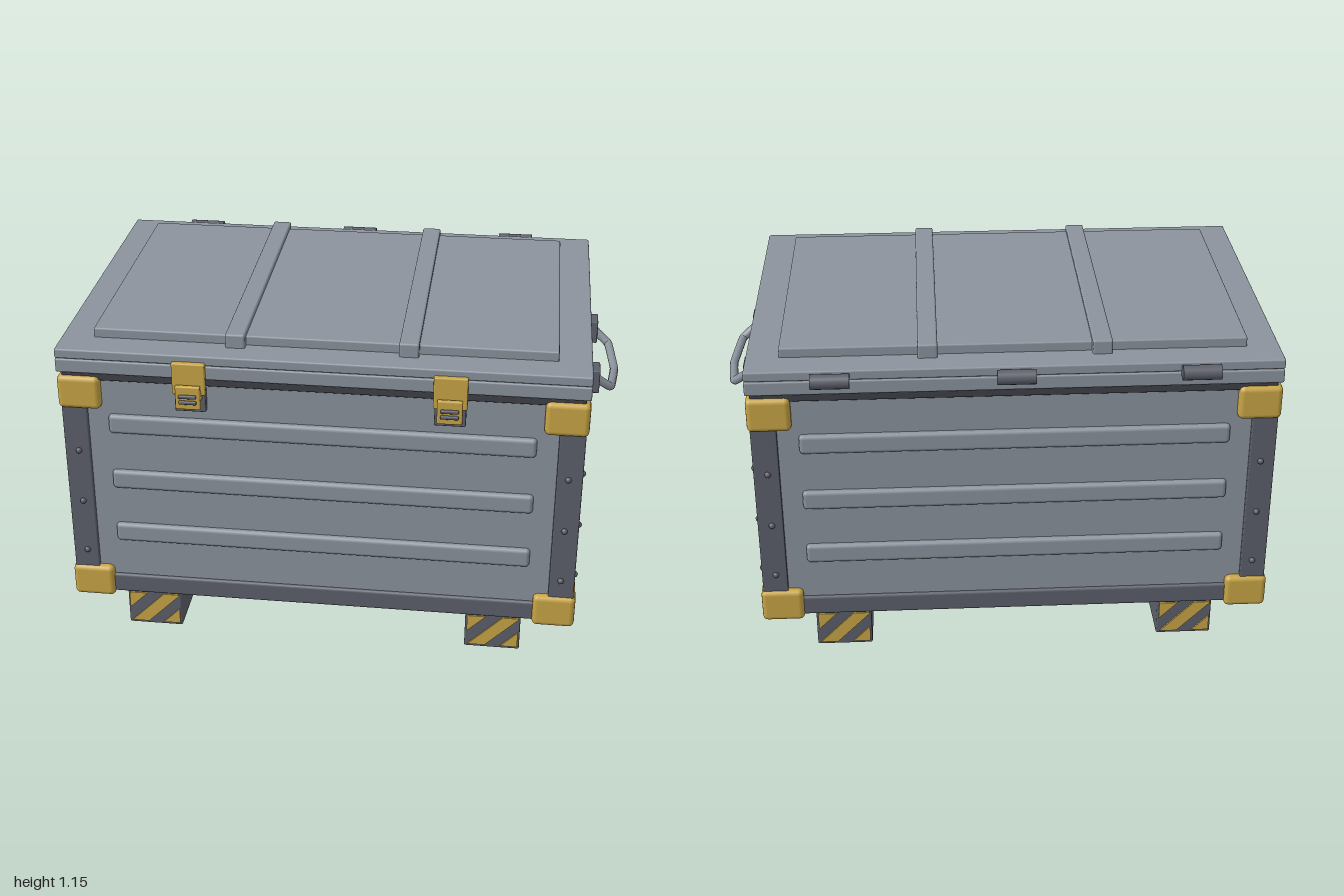
import * as THREE from 'three';
import { RoundedBoxGeometry } from 'three/addons/geometries/RoundedBoxGeometry.js';

const paint = (name, color) => {
  const m = new THREE.MeshStandardMaterial({ color });
  m.name = name;
  return m;
};

export function createModel() {
  const steel = paint('steel grey', 0x8b939d);
  const frame = paint('dark frame', 0x5d606b);
  const brass = paint('brass yellow', 0xc8a545);
  const rubber = paint('black seal', 0x3f4148);

  const crate = new THREE.Group();
  crate.name = 'crate';

  const add = (name, geometry, material, x = 0, y = 0, z = 0, parent = crate) => {
    const mesh = new THREE.Mesh(geometry, material);
    mesh.name = name;
    mesh.position.set(x, y, z);
    parent.add(mesh);
    return mesh;
  };
  // Rounded box given by its lower and upper limits on each axis
  const block = (name, material, [x0, x1], [y0, y1], [z0, z1], radius = 0.005, parent = crate) =>
    add(name, new RoundedBoxGeometry(x1 - x0, y1 - y0, z1 - z0, 2, radius), material,
      (x0 + x1) / 2, (y0 + y1) / 2, (z0 + z1) / 2, parent);
  const span = (centre, size) => [centre - size / 2, centre + size / 2];

  // Body, base frame and seal under the lid
  block('body', steel, [-0.86, 0.86], [0.16, 1.0], [-0.575, 0.575]);
  block('baseFrame', frame, [-0.87, 0.87], [0.147, 0.22], [-0.585, 0.585], 0.01);
  block('lidSeal', rubber, [-0.87, 0.87], [0.99, 1.025], [-0.585, 0.585]);

  // Lid: two layers, raised panel and two straps
  block('lidRim', steel, [-0.885, 0.885], [1.02, 1.069], [-0.598, 0.598], 0.006);
  block('lidTop', steel, [-0.885, 0.885], [1.071, 1.105], [-0.598, 0.598], 0.006);
  block('lidCore', steel, [-0.878, 0.878], [1.05, 1.09], [-0.59, 0.59]);
  block('lidPanel', steel, [-0.775, 0.775], [1.09, 1.138], [-0.49, 0.49], 0.006);
  for (const x of [-0.29, 0.287])
    block('lidStrap', steel, span(x, 0.066), [1.09, 1.153], [-0.52, 0.52], 0.007);

  // Pressed ribs on all four walls
  for (const y of [0.4, 0.613, 0.828]) {
    for (const s of [-1, 1]) {
      block('longRib', steel, [-0.72, 0.72], span(y, 0.07), span(s * 0.57, 0.046), 0.014);
      block('sideRib', steel, span(s * 0.856, 0.046), span(y, 0.07), [-0.432, 0.432], 0.014);
    }
  }

  // Corner posts, rivets and corner caps
  const rivet = new THREE.SphereGeometry(0.011, 10, 8);
  for (const sx of [-1, 1]) {
    for (const sz of [-1, 1]) {
      block('cornerPost', frame, span(sx * 0.8345, 0.087), [0.16, 0.995], span(sz * 0.547, 0.084));
      for (const y of [0.32, 0.52, 0.72]) {
        add('rivet', rivet, frame, sx * 0.83, y, sz * 0.589);
        add('rivet', rivet, frame, sx * 0.878, y, sz * 0.54);
      }
      for (const y of [0.194, 0.945])
        block('cornerCap', brass, span(sx * 0.813, 0.146), span(y, 0.12), span(sz * 0.528, 0.146), 0.018);
    }
  }

  // Diagonal band x - y in [a, b], clipped to a w by h plate
  const w = 0.18, h = 0.12;
  const band = (a, b) => {
    const enter = c => [Math.max(c, 0), Math.max(-c, 0)];
    const leave = c => [Math.min(c + h, w), Math.min(h, w - c)];
    const points = [enter(a)];
    if (a < 0 && b > 0) points.push([0, 0]);
    points.push(enter(b), leave(b));
    if (a < w - h && b > w - h) points.push([w, h]);
    points.push(leave(a));
    const shape = new THREE.Shape(points.map(p => new THREE.Vector2(...p)));
    return new THREE.ExtrudeGeometry(shape, { depth: 0.006, bevelEnabled: false });
  };
  const bands = [[-0.119, -0.055], [0.005, 0.065], [0.12, 0.179]].map(([a, b]) => band(a, b));

  // Skids with hazard stripes on both ends
  for (const sx of [-1, 1]) {
    block('skid', frame, span(sx * 0.606, 0.194), [0, 0.155], [-0.56, 0.56], 0.006);
    for (const turn of [0, Math.PI]) {
      const plate = new THREE.Group();
      plate.name = 'hazardPlate';
      plate.position.x = sx * 0.606;
      plate.rotation.y = turn;
      crate.add(plate);
      for (const g of bands) add('hazardStripe', g, brass, -w / 2, 0.013, 0.56, plate);
    }
  }

  // Front latches
  for (const x of [-0.432, 0.432]) {
    const latch = new THREE.Group();
    latch.name = 'latch';
    latch.position.x = x;
    crate.add(latch);
    block('latchKeeper', frame, [-0.052, 0.052], [0.9, 0.985], [0.57, 0.598], 0.004, latch);
    block('latchPlate', brass, [-0.056, 0.056], [0.97, 1.084], [0.595, 0.616], 0.005, latch);
    block('latchTongue', brass, [-0.042, 0.042], [0.926, 1.01], [0.619, 0.636], 0.005, latch);
    block('latchLink', brass, [-0.042, 0.042], [0.95, 0.985], [0.595, 0.625], 0.004, latch);
    for (const y of [0.954, 0.975])
      block('latchPin', frame, [-0.03, 0.03], span(y, 0.012), [0.625, 0.645], 0.004, latch);
  }

  // Rear hinges
  for (const x of [-0.605, 0, 0.605]) {
    const knuckle = add('hinge', new THREE.CylinderGeometry(0.025, 0.025, 0.128, 16), frame, x, 1.078, -0.62);
    knuckle.rotation.z = Math.PI / 2;
  }

  // Carry handles: the left one, then the same turned about for the right
  const path = new THREE.CatmullRomCurve3([
    [0.9, 0.925, 0.203], [0.925, 0.9, 0.195], [0.967, 0.867, 0.175], [0.985, 0.851, 0],
    [0.967, 0.867, -0.175], [0.925, 0.9, -0.195], [0.9, 0.925, -0.203],
  ].map(p => new THREE.Vector3(...p)), false, 'catmullrom', 0.1);
  const grip = new THREE.TubeGeometry(path, 60, 0.015, 10);
  for (const turn of [0, Math.PI]) {
    const handle = new THREE.Group();
    handle.name = 'handle';
    handle.rotation.y = turn;
    crate.add(handle);
    add('handleGrip', grip, steel, 0, 0, 0, handle);
    for (const z of [-0.203, 0.203])
      block('handleMount', frame, [0.85, 0.925], [0.87, 0.955], span(z, 0.074), 0.004, handle);
  }

  return crate;
}
